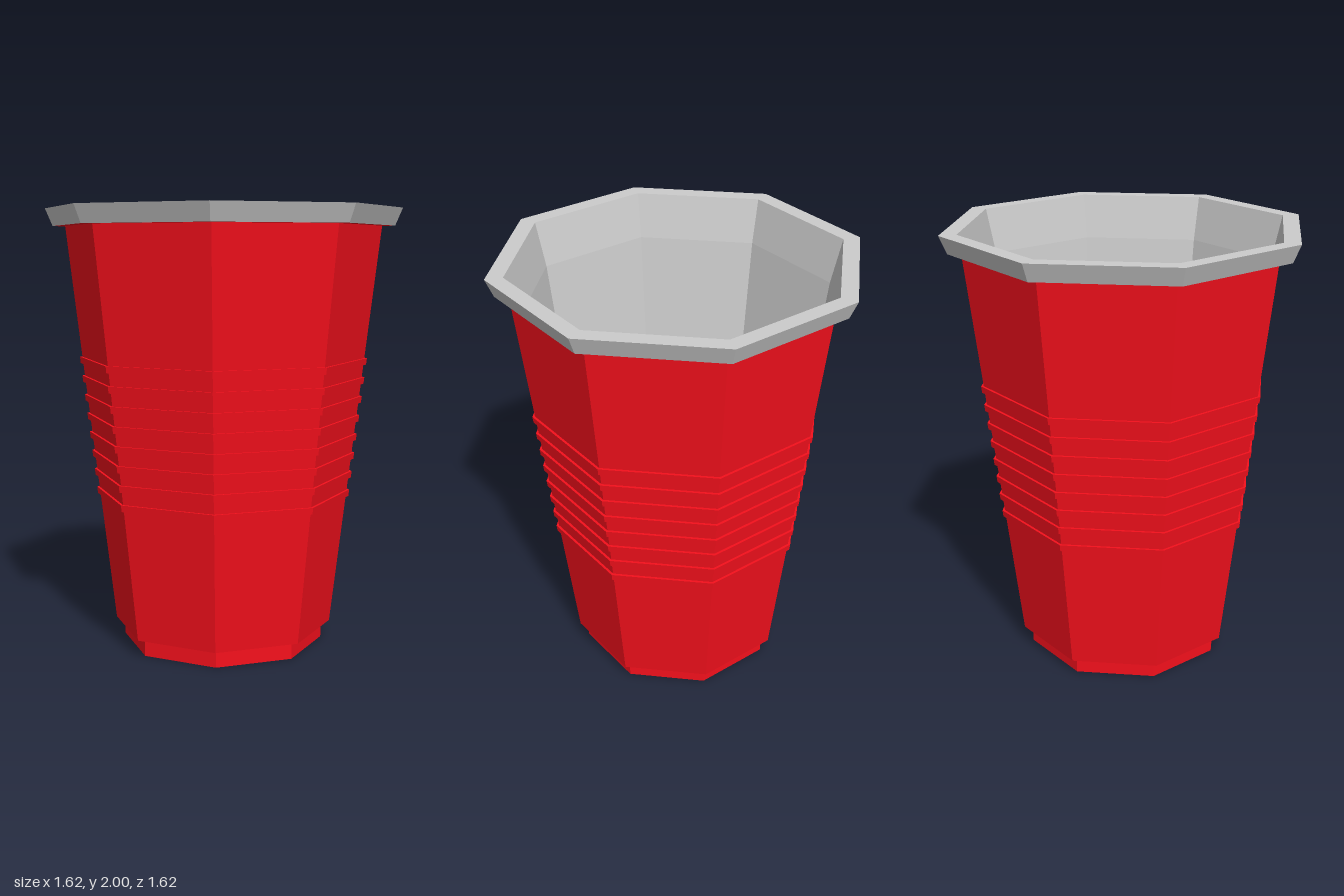
import * as THREE from 'three';

const SIDES = 8;
const red = new THREE.MeshStandardMaterial({ color: 0xf5101c, flatShading: true });
const grey = new THREE.MeshStandardMaterial({ color: 0xcccccc, flatShading: true });

// Faceted ring or shell from a [radius, y] profile, with corners on the axes
function shell(name, profile, material) {
  const points = profile.map(([r, y]) => new THREE.Vector2(r, y));
  const mesh = new THREE.Mesh(new THREE.LatheGeometry(points, SIDES), material);
  mesh.name = name;
  return mesh;
}

// Radius of the tapering outer wall at height y
const wallRadius = (y) => THREE.MathUtils.mapLinear(y, 0.08, 1.92, 0.505, 0.72);

export function createModel() {
  const cup = new THREE.Group();
  cup.name = 'cup';

  // Outside: foot, step, ribbed tapering wall and underside of the rim
  const outside = [[0, 0], [0.465, 0], [0.465, 0.08], [wallRadius(0.08), 0.08]];
  const ribCount = 8, ribHeight = 0.03, ribDepth = 0.012;
  for (let i = 0; i < ribCount; i++) {
    const low = 0.68 + i * 0.0875;
    const high = low + ribHeight;
    outside.push(
      [wallRadius(low), low],
      [wallRadius(low) + ribDepth, low],
      [wallRadius(high) + ribDepth, high],
      [wallRadius(high), high]
    );
  }
  outside.push([wallRadius(1.92), 1.92], [0.778, 1.92]);
  cup.add(shell('outerWall', outside, red));

  // Flared rim with a flat lip
  cup.add(shell('rim', [[0.778, 1.92], [0.812, 2], [0.735, 2]], grey));

  // Lining: bevel below the lip, inner wall and floor
  cup.add(shell('lining', [[0.735, 2], [0.688, 1.8], [0.46, 0.06], [0, 0.06]], grey));

  return cup;
}
